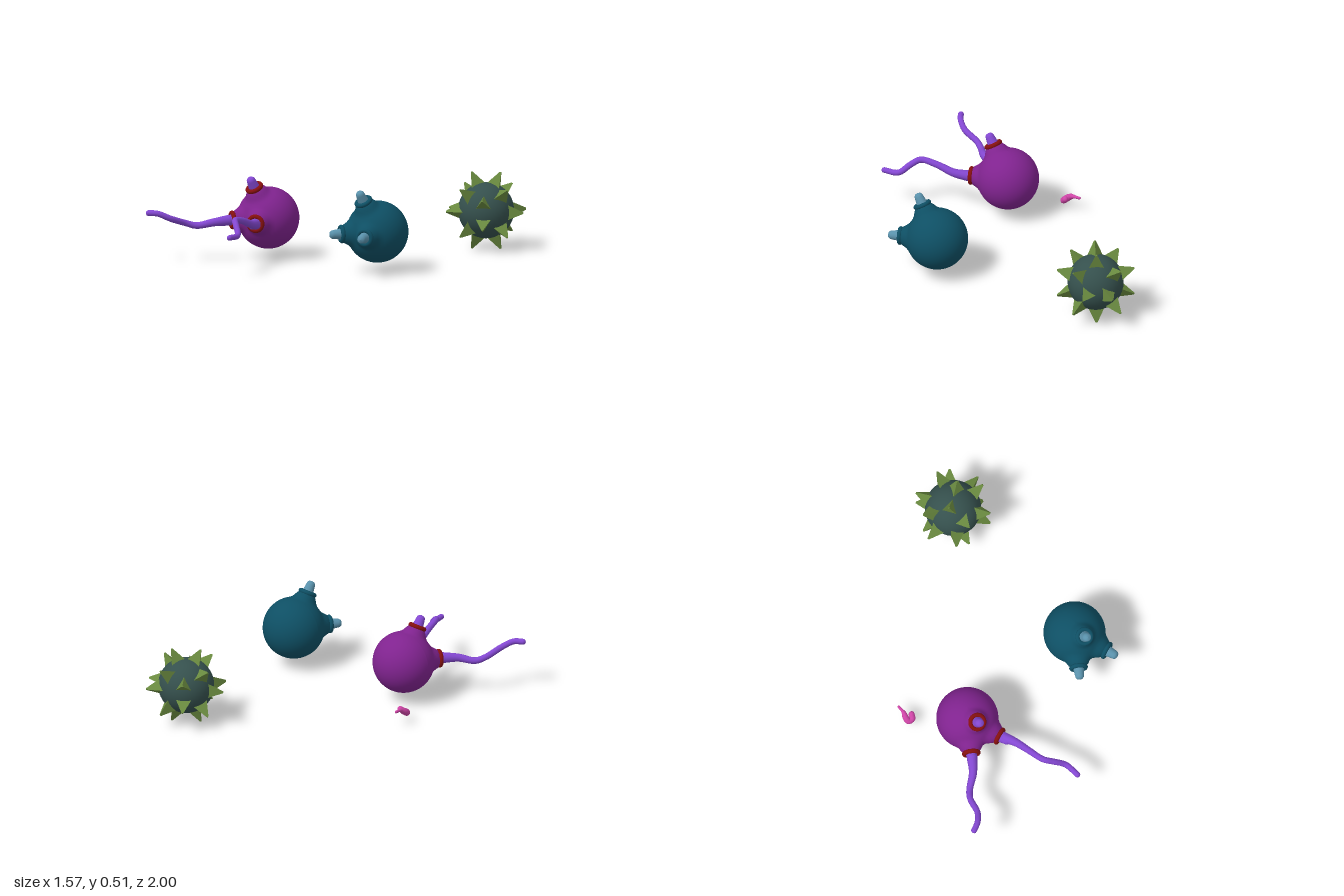
import * as THREE from 'three';

const V = (x, y, z) => new THREE.Vector3(x, y, z);
const mat = (name, color) => {
  const m = new THREE.MeshStandardMaterial({ color });
  m.name = name;
  return m;
};
const UP = V(0, 1, 0);

// Directions of the three sockets, seen from the centre of a pod
const SOCKETS = [V(-0.14, -0.005, 0.195), V(0.075, -0.005, 0.235), V(-0.02, 0.2, 0.115)].map(d => d.normalize());

function add(parent, name, geometry, material) {
  const mesh = new THREE.Mesh(geometry, material);
  mesh.name = name;
  parent.add(mesh);
  return mesh;
}

// Sphere that swells towards each socket
function podGeometry() {
  const g = new THREE.SphereGeometry(1, 56, 40);
  const p = g.attributes.position, v = V(0, 0, 0);
  for (let i = 0; i < p.count; i++) {
    v.fromBufferAttribute(p, i).normalize();
    let r = 0.188;
    for (const d of SOCKETS) {
      const a = v.angleTo(d);
      r += 0.043 * Math.exp(-Math.pow(a / 0.34, 4));
    }
    v.multiplyScalar(r);
    p.setXYZ(i, v.x, v.y, v.z);
  }
  g.computeVertexNormals();
  return g;
}

// Tapered nozzle with a rounded tip, pointing up
function nozzleGeometry() {
  const profile = [[0.036, -0.03], [0.035, 0], [0.027, 0.055], [0.025, 0.066], [0.017, 0.076], [0, 0.08]];
  return new THREE.LatheGeometry(profile.map(p => new THREE.Vector2(...p)), 20);
}

// Tube through points whose radius follows a list, closed by round ends
function taperedTube(parent, name, points, radii, material) {
  const group = new THREE.Group();
  group.name = name;
  const curve = new THREE.CatmullRomCurve3(points.map(p => V(...p)));
  const n = 48, sides = 12;
  const g = new THREE.TubeGeometry(curve, n, 1, sides);
  const p = g.attributes.position, v = V(0, 0, 0);
  for (let i = 0; i <= n; i++) {
    const c = curve.getPointAt(i / n);
    const t = (i / n) * (radii.length - 1);
    const k = Math.min(Math.floor(t), radii.length - 2);
    const r = THREE.MathUtils.lerp(radii[k], radii[k + 1], t - k);
    for (let j = 0; j <= sides; j++) {
      const q = i * (sides + 1) + j;
      v.fromBufferAttribute(p, q).sub(c).multiplyScalar(r).add(c);
      p.setXYZ(q, v.x, v.y, v.z);
    }
  }
  add(group, name + 'Skin', g, material);
  [0, 1].forEach(t => {
    const r = radii[t ? radii.length - 1 : 0];
    add(group, name + 'End', new THREE.SphereGeometry(r, 12, 8), material)
      .position.copy(curve.getPointAt(t));
  });
  parent.add(group);
}

function pod(name, center, bodyMat, ringMat, nozzleMat) {
  const group = new THREE.Group();
  group.name = name;
  group.position.copy(center);
  add(group, 'podBody', podGeometry(), bodyMat);
  const ring = new THREE.TorusGeometry(0.043, 0.014, 12, 28);
  const nozzle = nozzleGeometry();
  for (const d of SOCKETS) {
    const r = add(group, 'socketRing', ring, ringMat);
    r.position.copy(d).multiplyScalar(0.226);
    r.quaternion.setFromUnitVectors(V(0, 0, 1), d);
    const s = add(group, 'nozzle', nozzle, nozzleMat);
    s.position.copy(d).multiplyScalar(0.222);
    s.quaternion.setFromUnitVectors(UP, d);
  }
  return group;
}

// Ball with spikes on the corners of a dodecahedron
function spikyBall(center, ballMat, spikeMat) {
  const group = new THREE.Group();
  group.name = 'spikyBall';
  group.position.copy(center);
  add(group, 'ball', new THREE.SphereGeometry(0.17, 32, 24), ballMat);
  const spike = new THREE.CylinderGeometry(0.007, 0.064, 0.11, 3).toNonIndexed();
  spike.computeVertexNormals();
  for (let k = 0; k < 10; k++) {
    const a = k * Math.PI / 5, side = k % 2 ? 1 : -1;
    for (const [r, z] of [[0.982, 0.188], [0.607, 0.795]]) {
      const d = V(r * Math.cos(a), r * Math.sin(a), side * z).normalize();
      const s = add(group, 'spike', spike, spikeMat);
      s.position.copy(d).multiplyScalar(0.195);
      // Turn one edge of each spike along the meridian
      const out = V(0, 0, side).addScaledVector(d, -side * d.z).normalize();
      const m = new THREE.Matrix4().makeBasis(V(0, 0, 0).crossVectors(d, out), d, out);
      s.quaternion.setFromRotationMatrix(m);
    }
  }
  return group;
}

export function createModel() {
  const purple = mat('purple', 0x80238f);
  const violet = mat('violet', 0x8448d2);
  const red = mat('dark red', 0x85100f);
  const teal = mat('deep teal', 0x0e4f64);
  const blue = mat('pale blue', 0x5a92ac);
  const pink = mat('pink', 0xd045a8);
  const slate = mat('slate green', 0x35504d);
  const olive = mat('olive green', 0x69893f);

  const model = new THREE.Group();
  model.name = 'creatures';
  model.add(pod('purplePod', V(-0.305, 0.25, 0.27), purple, red, violet));
  model.add(pod('tealPod', V(0.545, 0.25, 0.292), teal, teal, blue));
  model.add(spikyBall(V(0.535, 0.242, -0.796), slate, olive));

  // Long tentacles growing out of the two front sockets
  taperedTube(model, 'rightTentacle', [
    [-0.45, 0.245, 0.475], [-0.51, 0.235, 0.55], [-0.59, 0.216, 0.61], [-0.632, 0.233, 0.66],
    [-0.67, 0.272, 0.77], [-0.72, 0.303, 0.825], [-0.77, 0.305, 0.85],
  ], [0.033, 0.025, 0.021, 0.019, 0.019, 0.018, 0.018], violet);
  taperedTube(model, 'leftTentacle', [
    [-0.225, 0.245, 0.5], [-0.193, 0.26, 0.585], [-0.177, 0.295, 0.69], [-0.156, 0.312, 0.79],
    [-0.114, 0.288, 0.835], [-0.06, 0.243, 0.89], [-0.05, 0.24, 0.983],
  ], [0.033, 0.025, 0.021, 0.019, 0.019, 0.018, 0.017], violet);

  // Small curled grub with a thin tail
  taperedTube(model, 'grub', [
    [-0.529, 0.102, -0.1], [-0.531, 0.1, -0.055], [-0.54, 0.085, -0.025], [-0.536, 0.068, -0.003],
    [-0.512, 0.07, 0], [-0.499, 0.087, -0.018],
  ], [0.008, 0.01, 0.018, 0.021, 0.021, 0.018], pink);
  return model;
}
